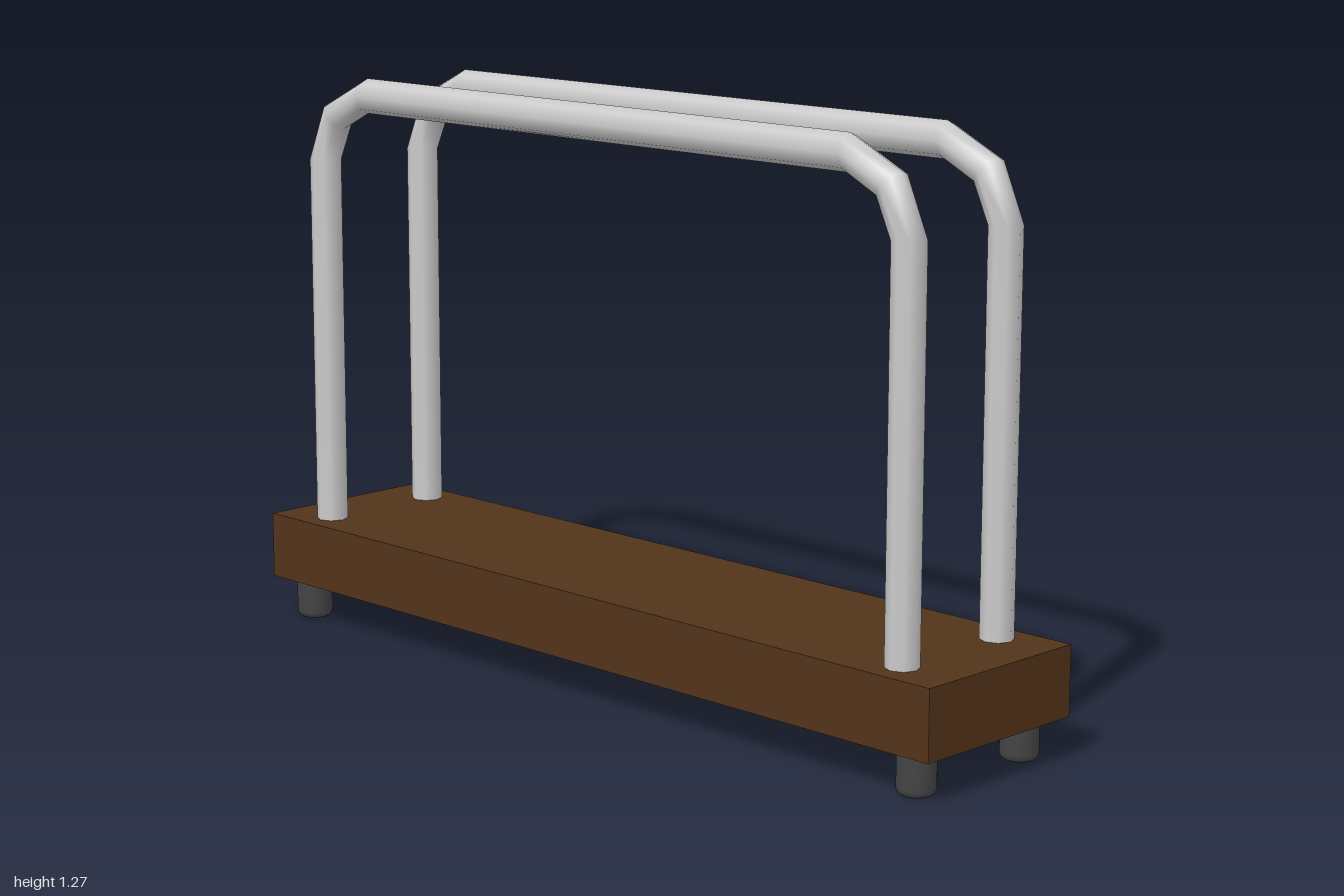
import * as THREE from 'three';

const SIDES = 8;

// Bent rail: rings of SIDES points placed along an arch in the y-z plane
function railGeometry() {
  const r = 0.0355, stretch = 1.1;
  // ring centre z, y and outward angle, front half of the arch
  const half = [
    [0.869, 0.2, 0],
    [0.869, 1.077, 0],
    [0.823, 1.18, Math.PI / 4],
    [0.716, 1.232, Math.PI / 2],
  ];
  const rings = [...half, ...half.map(([z, y, a]) => [-z, y, Math.PI - a]).reverse()];
  const pos = [], nor = [], idx = [];
  rings.forEach(([z, y, a], i) => {
    for (let j = 0; j < SIDES; j++) {
      const t = (j / SIDES) * Math.PI * 2;
      const n = [Math.sin(t), Math.cos(t) * Math.sin(a), Math.cos(t) * Math.cos(a)];
      pos.push(r * n[0], y + r * stretch * n[1], z + r * n[2]);
      nor.push(...n);
      if (i < rings.length - 1) {
        const p = i * SIDES + j, q = i * SIDES + (j + 1) % SIDES;
        idx.push(p, q, p + SIDES, q, q + SIDES, p + SIDES);
      }
    }
  });
  const g = new THREE.BufferGeometry();
  g.setAttribute('position', new THREE.Float32BufferAttribute(pos, 3));
  g.setAttribute('normal', new THREE.Float32BufferAttribute(nor, 3));
  g.setIndex(idx);
  return g;
}

export function createModel() {
  const group = new THREE.Group();
  const wood = new THREE.MeshStandardMaterial({ color: 0x53341a });
  const metal = new THREE.MeshStandardMaterial({ color: 0xcccccc });
  const rubber = new THREE.MeshStandardMaterial({ color: 0x444444 });

  const add = (name, geometry, material, x, y, z) => {
    const mesh = new THREE.Mesh(geometry, material);
    mesh.name = name;
    mesh.position.set(x, y, z);
    group.add(mesh);
  };

  // Wooden base
  add('base', new THREE.BoxGeometry(0.436, 0.15, 2), wood, 0, 0.165, 0);

  // Foot with a softened lower edge
  const foot = new THREE.LatheGeometry([
    [0, 0], [0.033, 0], [0.038, 0.004], [0.041, 0.014], [0.041, 0.095],
  ].map(([x, y]) => new THREE.Vector2(x, y)), 14);
  const rail = railGeometry();

  for (const s of [1, -1]) {
    const side = s > 0 ? 'left' : 'right';
    add(side + 'Rail', rail, metal, s * 0.145, 0, 0);
    add(side + 'FrontFoot', foot, rubber, s * 0.159, 0, 0.922);
    add(side + 'BackFoot', foot, rubber, s * 0.159, 0, -0.922);
  }
  return group;
}
